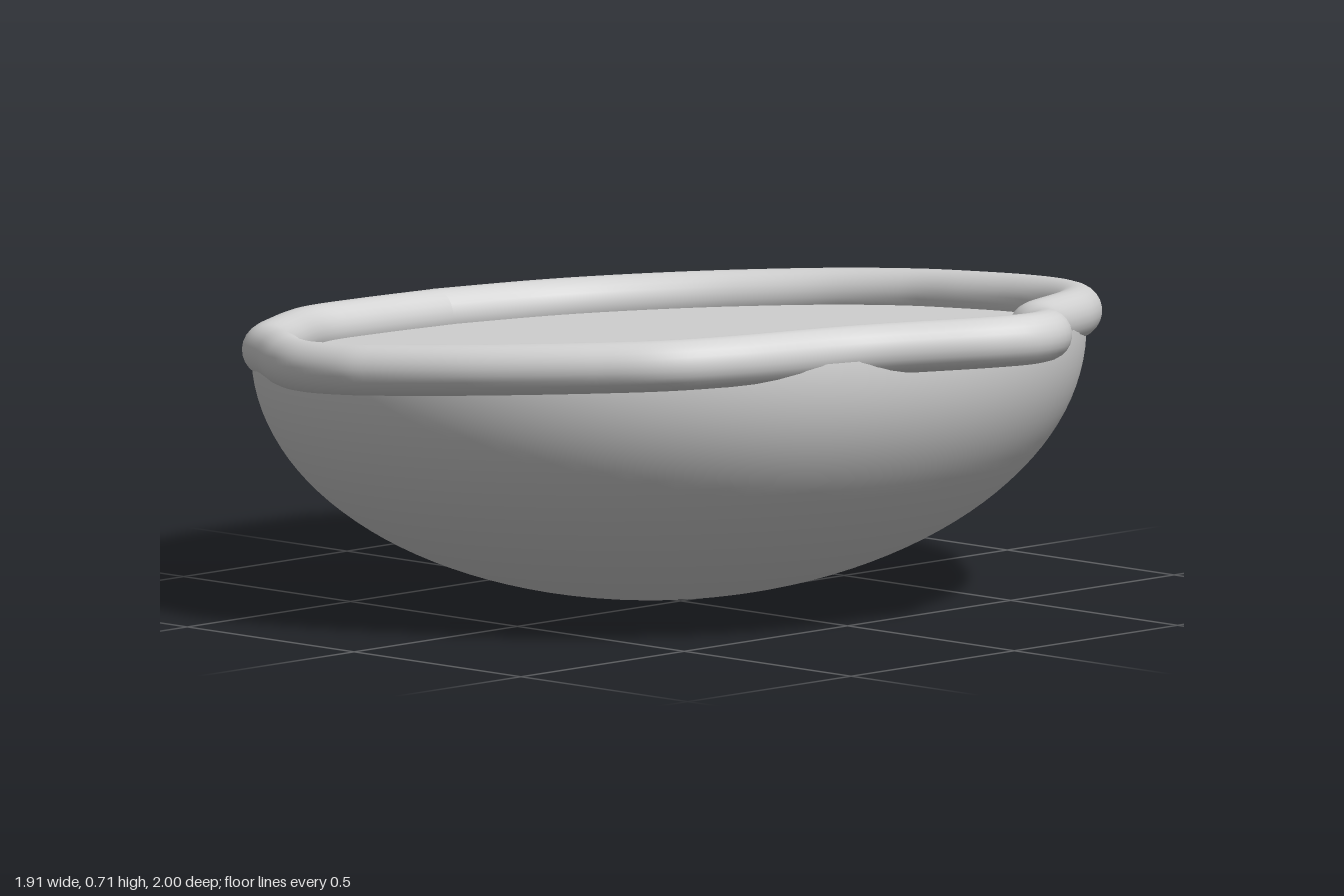
import * as THREE from 'three';

const TILT_X = -0.02, TILT_Z = 0.085; // slope of the rim plane

export function createModel() {
  const group = new THREE.Group();
  const grey = new THREE.MeshStandardMaterial({ color: 0xd4d4d4, side: THREE.DoubleSide });
  grey.name = 'light grey';

  // Filled bowl: flattened half sphere with a flat top, tipped up at the spout
  const radius = 0.895, depth = 0.552;
  const bowl = new THREE.Group();
  bowl.name = 'bowl';
  const shell = new THREE.Mesh(
    new THREE.SphereGeometry(1, 96, 32, 0, Math.PI * 2, Math.PI / 2, Math.PI / 2)
      .scale(radius, depth, radius), grey);
  shell.name = 'bowlShell';
  const surface = new THREE.Mesh(
    new THREE.CircleGeometry(radius, 96).rotateX(-Math.PI / 2), grey);
  surface.name = 'flatSurface';
  bowl.add(shell, surface);
  bowl.position.set(0.02, 0.557, -0.055);
  bowl.quaternion.setFromUnitVectors(
    new THREE.Vector3(0, 1, 0),
    new THREE.Vector3(-TILT_X, 1, -TILT_Z).normalize());
  group.add(bowl);

  // Hand-rolled rim with a pouring spout; its ends meet in a small seam at the back
  const path = [
    [0.21, -0.945], [0.44, -0.87], [0.56, -0.8], [0.68, -0.69], [0.77, -0.57],
    [0.86, -0.38], [0.895, -0.17], [0.88, 0.015], [0.845, 0.21], [0.785, 0.375],
    [0.7, 0.5], [0.595, 0.59], [0.34, 0.73], [0.25, 0.825], [0.19, 0.91],
    [0.105, 0.943], [0.02, 0.915], [-0.225, 0.75], [-0.51, 0.65], [-0.63, 0.58],
    [-0.715, 0.46], [-0.83, 0.21], [-0.89, -0.015], [-0.9, -0.105], [-0.875, -0.255],
    [-0.81, -0.375], [-0.695, -0.52], [-0.565, -0.685], [-0.395, -0.81],
    [-0.19, -0.925], [0, -0.945], [0.21, -0.94],
  ].map(([x, z]) => new THREE.Vector3(x, 0.582 + TILT_X * x + TILT_Z * z, z));
  const rim = new THREE.Mesh(
    new THREE.TubeGeometry(new THREE.CatmullRomCurve3(path), 256, 0.055, 24), grey);
  rim.name = 'rim';
  group.add(rim);

  return group;
}
